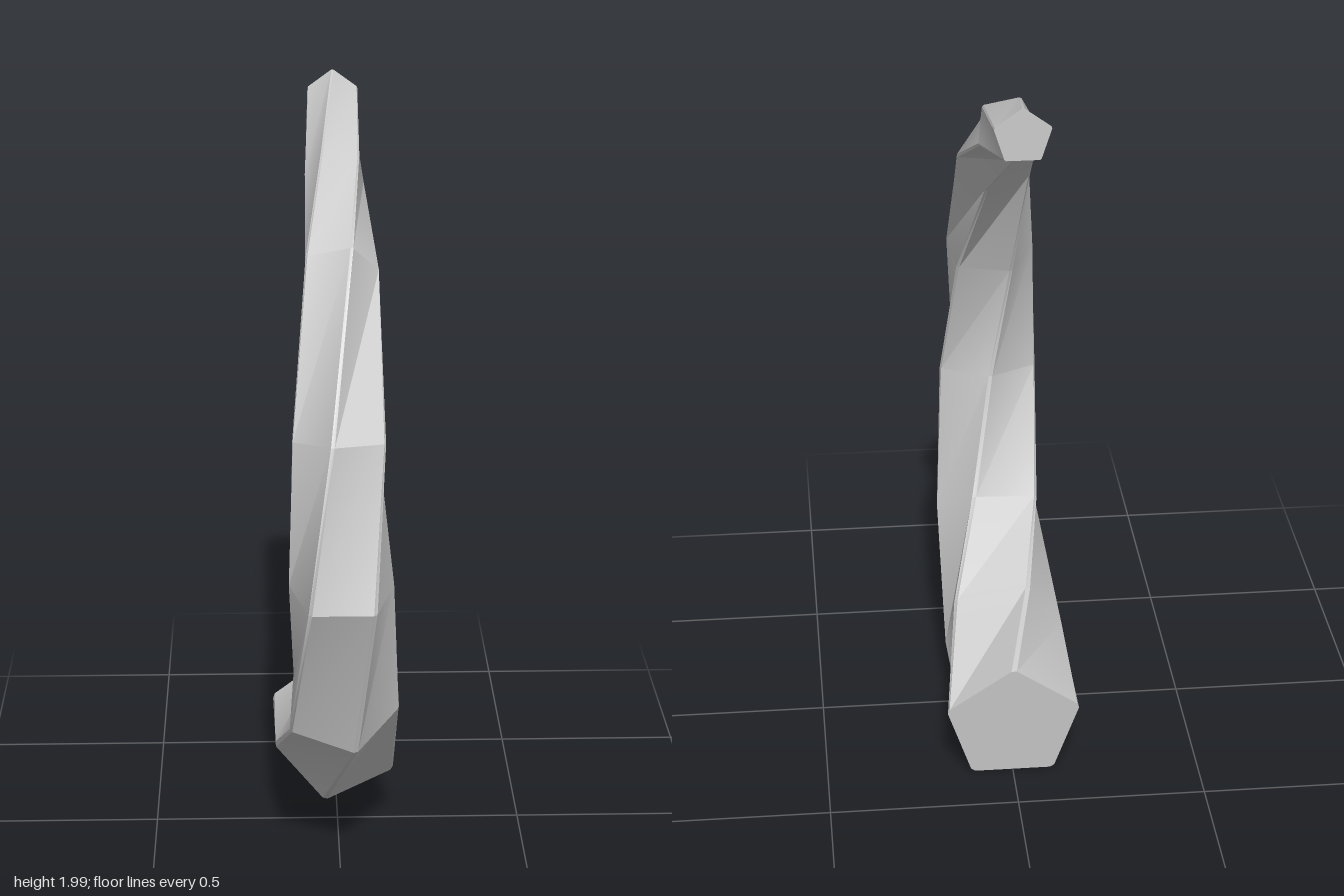
import * as THREE from 'three';
import { toCreasedNormals } from 'three/addons/utils/BufferGeometryUtils.js';

// Cross-sections from the thick base to the thin tip:
// centre z, centre y, radius, tilt of the section, twist of the pentagon (degrees)
const SECTIONS = [
  [-0.361, 0.162, 0.188, 5.8, -36],
  [0.004, 0.258, 0.176, 22.6, -12],
  [0.287, 0.487, 0.158, 54.7, 14],
  [0.436, 0.858, 0.143, 81, 36],
  [0.363, 1.239, 0.127, 99.6, 61],
  [0.122, 1.614, 0.105, 140.2, 90],
  [-0.174, 1.803, 0.084, 153.4, 118],
  [-0.55, 1.928, 0.073, 180, 144],
];
const SIDES = 5;
const BEVEL = 0.04; // share of each side cut off at a corner

// Pentagon with narrowly bevelled corners, placed in its tilted plane
function ring([z, y, r, tilt, twist]) {
  const b = THREE.MathUtils.degToRad(tilt);
  const outward = new THREE.Vector3(0, -Math.cos(b), Math.sin(b));
  const corner = (k) => {
    const a = THREE.MathUtils.degToRad(twist + (k * 360) / SIDES);
    return new THREE.Vector3(r * Math.sin(a), y, z).addScaledVector(outward, r * Math.cos(a));
  };
  const points = [];
  for (let k = 0; k < SIDES; k++) {
    points.push(corner(k).lerp(corner(k - 1), BEVEL), corner(k).lerp(corner(k + 1), BEVEL));
  }
  return points;
}

function hornGeometry() {
  const rings = SECTIONS.map(ring);
  const n = SIDES * 2;
  const positions = [];
  const tri = (...corners) => corners.forEach((p) => positions.push(p.x, p.y, p.z));

  // Twisted sides between neighbouring sections
  for (let i = 0; i < rings.length - 1; i++) {
    for (let k = 0; k < n; k++) {
      const a = rings[i][k], b = rings[i][(k + 1) % n];
      const d = rings[i + 1][k], c = rings[i + 1][(k + 1) % n];
      tri(a, b, c);
      tri(a, c, d);
    }
  }

  // Flat ends
  const first = rings[0], last = rings[rings.length - 1];
  for (let k = 1; k < n - 1; k++) {
    tri(first[0], first[k + 1], first[k]);
    tri(last[0], last[k], last[k + 1]);
  }

  const geometry = new THREE.BufferGeometry();
  geometry.setAttribute('position', new THREE.Float32BufferAttribute(positions, 3));
  return toCreasedNormals(geometry, THREE.MathUtils.degToRad(30));
}

export function createModel() {
  const group = new THREE.Group();
  group.name = 'curvedHorn';
  const horn = new THREE.Mesh(hornGeometry(), new THREE.MeshStandardMaterial({ color: 0xcccccc }));
  horn.name = 'horn';
  group.add(horn);
  return group;
}
